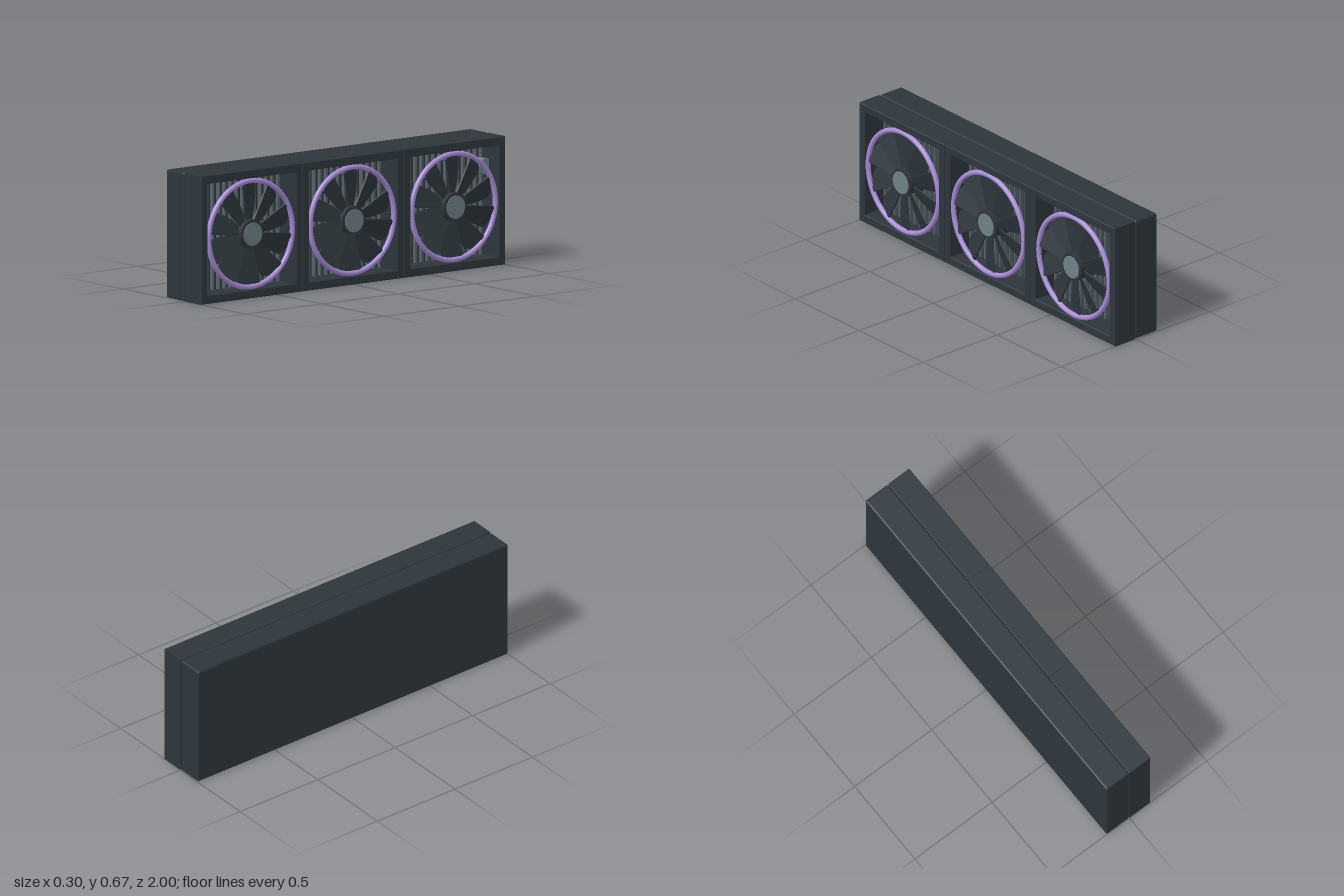
import * as THREE from 'three';
import { RoundedBoxGeometry } from 'three/addons/geometries/RoundedBoxGeometry.js';

const shell = new THREE.MeshStandardMaterial({ color: 0x2d363c });
shell.name = 'dark slate';
const metal = new THREE.MeshStandardMaterial({ color: 0x6f7f87 });
metal.name = 'grey metal';
const finGrey = new THREE.MeshStandardMaterial({ color: 0x566168 });
finGrey.name = 'fin grey';
const glow = new THREE.MeshStandardMaterial({ color: 0xa68bd4 });
glow.name = 'violet';

const MID = 0.3335; // height of the fan axes
const PITCH = 0.6667; // spacing of the fans along z

function add(parent, name, geometry, material, x = 0, y = 0, z = 0) {
  const mesh = new THREE.Mesh(geometry, material);
  mesh.name = name;
  mesh.position.set(x, y, z);
  parent.add(mesh);
  return mesh;
}

// Square housing with a square opening, axis along z
function frameGeometry() {
  const b = 0.003, h = 0.3325 - b, o = 0.289 + b;
  const shape = new THREE.Shape([[-h, -h], [h, -h], [h, h], [-h, h]].map(p => new THREE.Vector2(...p)));
  shape.holes.push(new THREE.Path([[-o, -o], [-o, o], [o, o], [o, -o]].map(p => new THREE.Vector2(...p))));
  return new THREE.ExtrudeGeometry(shape, {
    depth: 0.137 - 2 * b, bevelEnabled: true, bevelSize: b, bevelThickness: b, bevelSegments: 1,
  }).translate(0, 0, b);
}

// Swept paddle blade growing wider towards its tip, pitched about its length
function bladeGeometry() {
  const s = new THREE.Shape();
  s.moveTo(0.06, -0.02);
  s.quadraticCurveTo(0.14, -0.06, 0.243, -0.062);
  s.quadraticCurveTo(0.268, -0.045, 0.268, 0);
  s.quadraticCurveTo(0.268, 0.04, 0.25, 0.062);
  s.quadraticCurveTo(0.15, 0.04, 0.06, 0.02);
  const g = new THREE.ExtrudeGeometry(s, { depth: 0.008, bevelEnabled: false, curveSegments: 8 });
  return g.translate(0, 0, -0.004).rotateX(0.35);
}

function cylinder(r, from, to) {
  return new THREE.CylinderGeometry(r, r, to - from, 40).rotateX(Math.PI / 2).translate(0, 0, (from + to) / 2);
}

function makeFan() {
  const fan = new THREE.Group();
  fan.name = 'fan';
  add(fan, 'fanFrame', frameGeometry(), shell);
  add(fan, 'lightRing', new THREE.TorusGeometry(0.275, 0.0135, 12, 72), glow, 0, 0, 0.126);

  // Rotor
  const rotor = new THREE.Group();
  rotor.name = 'rotor';
  fan.add(rotor);
  add(rotor, 'hub', cylinder(0.075, 0.005, 0.143), shell);
  add(rotor, 'hubCap', cylinder(0.06, 0.138, 0.147), metal);
  const blade = bladeGeometry();
  const count = 10;
  for (let i = 0; i < count; i++) {
    add(rotor, 'blade', blade, shell, 0, 0, 0.112).rotation.z = (i + 0.5) / count * Math.PI * 2;
  }

  // Cooling fins seen through the blades
  const fin = new THREE.BoxGeometry(0.011, 0.58, 0.022);
  for (let i = -7; i <= 7; i++) add(fan, 'coolingFin', fin, finGrey, i * 0.039, 0, 0.008);

  fan.rotation.y = Math.PI / 2;
  return fan;
}

export function createModel() {
  const model = new THREE.Group();
  model.name = 'fanRadiator';

  // Radiator block behind the fans
  add(model, 'radiatorBody', new RoundedBoxGeometry(0.146, 0.665, 2, 3, 0.01), shell, -0.075, 0.3345, 0);

  for (const i of [-1, 0, 1]) {
    const fan = makeFan();
    fan.position.set(0, MID, i * PITCH);
    model.add(fan);
  }

  // Coolant port in the corner of the rear opening
  const port = new THREE.CylinderGeometry(0.042, 0.042, 0.06, 28).rotateZ(Math.PI / 2);
  add(model, 'coolantPort', port, metal, 0.028, 0.505, -0.935);

  return model;
}
